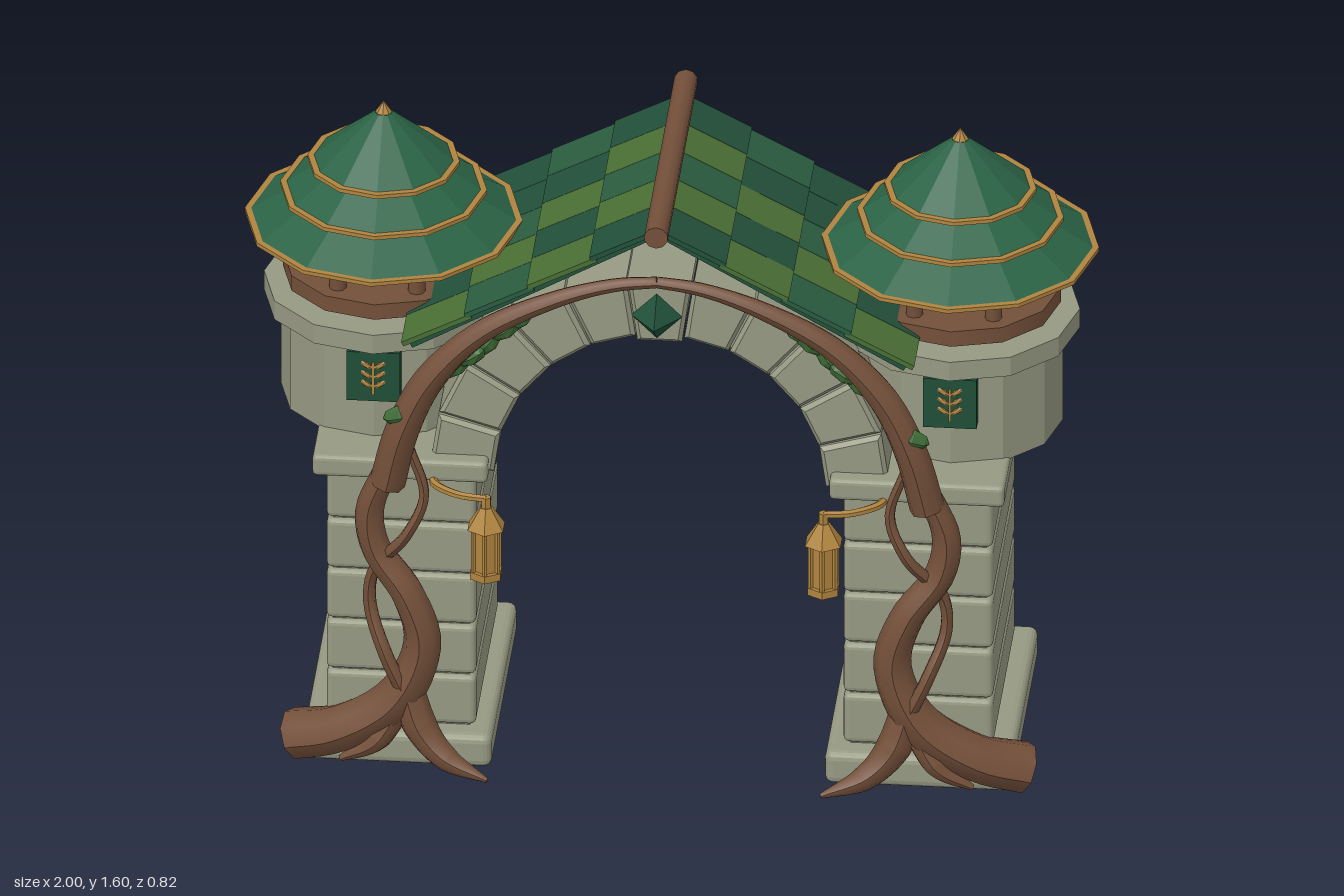
import * as THREE from 'three';
import { RoundedBoxGeometry } from 'three/addons/geometries/RoundedBoxGeometry.js';

const mat = (name, color, extra = {}) => new THREE.MeshStandardMaterial({ name, color, ...extra });
const V = (x, y, z) => new THREE.Vector3(x, y, z);

export function createModel() {
  const root = new THREE.Group();
  root.name = 'gateway';
  const stone = mat('stone', 0x969982, { flatShading: true });
  const wood = mat('wood', 0x74503a);
  const gold = mat('gold', 0xb0843f, { flatShading: true });
  const green = mat('turret roof green', 0x2b6346, { flatShading: true });
  const tileDark = mat('dark tile green', 0x22503a);
  const tileMid = mat('mid tile green', 0x2a5c40);
  const tileMoss = mat('moss tile green', 0x4a6f35);
  const leafGreen = mat('leaf green', 0x3d6a35, { flatShading: true });
  const deepGreen = mat('deep green', 0x1f4f38, { flatShading: true });

  const add = (name, geo, material, x = 0, y = 0, z = 0, parent = root) => {
    const m = new THREE.Mesh(geo, material);
    m.name = name;
    m.position.set(x, y, z);
    parent.add(m);
    return m;
  };
  const block = (name, w, h, d, x, y, z, r = 0.014) =>
    add(name, new RoundedBoxGeometry(w, h, d, 2, r), stone, x, y, z);
  // cylinder given by its bottom and top heights
  const drum = (name, material, rTop, rBottom, y0, y1, x, z, sides = 12) =>
    add(name, new THREE.CylinderGeometry(rTop, rBottom, y1 - y0, sides), material, x, (y0 + y1) / 2, z);

  // tube along points whose radius follows a list of values, with closed ends
  const branch = (name, points, radii, material = wood, sides = 8) => {
    const curve = new THREE.CatmullRomCurve3(points);
    const n = 36;
    const geo = new THREE.TubeGeometry(curve, n, 1, sides);
    const pos = geo.attributes.position;
    const p = V();
    const radius = (t) => {
      const f = t * (radii.length - 1), i = Math.min(Math.floor(f), radii.length - 2);
      return THREE.MathUtils.lerp(radii[i], radii[i + 1], f - i);
    };
    for (let i = 0; i <= n; i++) {
      const c = curve.getPointAt(i / n);
      for (let j = 0; j <= sides; j++) {
        const k = i * (sides + 1) + j;
        p.fromBufferAttribute(pos, k).sub(c).multiplyScalar(radius(i / n)).add(c);
        pos.setXYZ(k, p.x, p.y, p.z);
      }
    }
    geo.computeVertexNormals();
    add(name, geo, material);
    for (const t of [0, 1]) {
      const c = curve.getPointAt(t);
      const cap = add(name + 'End', new THREE.CircleGeometry(radius(t), sides), material, c.x, c.y, c.z);
      cap.lookAt(c.clone().addScaledVector(curve.getTangentAt(t), t ? 1 : -1));
    }
  };

  // arch of eleven wedge stones
  const step = Math.PI / 11, cy = 0.79, bev = 0.01;
  for (let i = 0; i < 11; i++) {
    const key = i === 5;
    const r0 = 0.385 + bev - (key ? 0.008 : 0), r1 = 0.535 - bev + (key ? 0.008 : 0);
    const wedge = new THREE.Shape();
    const half0 = r0 * Math.tan(step / 2) - bev - 0.002, half1 = r1 * Math.tan(step / 2) - bev - 0.002;
    wedge.moveTo(-half0, r0).lineTo(half0, r0).lineTo(half1, r1).lineTo(-half1, r1).closePath();
    const depth = key ? 0.565 : 0.55;
    const geo = new THREE.ExtrudeGeometry(wedge, {
      depth: depth - 2 * bev, bevelEnabled: true, bevelSize: bev, bevelThickness: bev, bevelSegments: 1,
    });
    geo.translate(0, 0, -depth / 2 + bev);
    add(key ? 'keystone' : 'archStone', geo, stone, 0, cy, -0.03).rotation.z = (i - 5) * step;
  }
  add('keystoneGem', new THREE.OctahedronGeometry(0.06), deepGreen, 0, 1.275, 0.315).scale.z = 1.25;

  // ridge log
  add('ridgeLog', new THREE.CylinderGeometry(0.028, 0.028, 0.745, 10), wood, 0, 1.495, -0.0375).rotation.x = Math.PI / 2;

  // tile colours per row from back to front, ridge to eave: d dark, g mid, m moss
  const tiles = { d: tileDark, g: tileMid, m: tileMoss };
  const pattern = ['dgdd', 'mddg', 'gmgd', 'mdmd', 'dmgm'];

  for (const s of [1, -1]) {
    const at = (list) => list.map(([x, y, z]) => V(x * s, y, z));

    // pillar
    block('pillarBase', 0.44, 0.085, 0.65, 0.61 * s, 0.065, -0.033, 0.02);
    for (let i = 0; i < 5; i++) block('pillarBlock', 0.35, 0.13, 0.56, 0.605 * s, 0.178 + i * 0.135, -0.03);
    add('pillarCore', new THREE.BoxGeometry(0.32, 0.7, 0.53), stone, 0.605 * s, 0.44, -0.03);
    block('pillarCap', 0.41, 0.055, 0.625, 0.605 * s, 0.81, -0.028, 0.012);

    // turret
    const tx = 0.675 * s, tz = -0.063;
    drum('turretWall', stone, 0.24, 0.24, 0.83, 1.09, tx, tz);
    drum('turretRim', stone, 0.28, 0.28, 1.08, 1.13, tx, tz);
    drum('turretRail', wood, 0.236, 0.236, 1.147, 1.187, tx, tz);
    for (let i = 0; i < 6; i++) {
      const a = i * Math.PI / 3;
      drum('turretPost', wood, 0.02, 0.02, 1.125, 1.3, tx + 0.185 * Math.cos(a), tz + 0.185 * Math.sin(a), 8);
    }
    // roof tiers: eave radius, top radius, eave height, top height
    for (const [r0, r1, y0, y1] of [[0.325, 0.18, 1.287, 1.38], [0.242, 0.11, 1.364, 1.455], [0.178, 0.02, 1.438, 1.572]]) {
      drum('turretEave', gold, r0, r0, y0, y0 + 0.01, tx, tz);
      drum('turretRoof', green, r1, r0 - 0.015, y0 + 0.01, y1, tx, tz);
    }
    drum('turretFinial', gold, 0.018, 0.024, 1.56, 1.575, tx, tz, 8);
    drum('turretFinialTip', gold, 0.001, 0.018, 1.575, 1.6, tx, tz, 8);

    // banner with a wheat ear
    add('banner', new THREE.BoxGeometry(0.125, 0.13, 0.04), deepGreen, tx, 1.008, 0.178);
    add('wheatStem', new THREE.BoxGeometry(0.006, 0.085, 0.006), gold, tx, 1.005, 0.2);
    for (let i = 0; i < 3; i++) for (const k of [1, -1]) {
      const grain = add('wheatGrain', new THREE.SphereGeometry(0.016, 6, 4), gold, tx + k * 0.016, 0.99 + i * 0.025, 0.2);
      grain.scale.set(1, 0.42, 0.25);
      grain.rotation.z = k * 0.6;
    }

    // main roof slope
    const slope = new THREE.Group();
    slope.name = 'roofSlope';
    slope.position.set(0, 1.487, -0.03);
    slope.rotation.z = -s * Math.atan2(0.337, 0.59);
    root.add(slope);
    add('roofBoard', new THREE.BoxGeometry(0.67, 0.012, 0.635), tileDark, 0.335 * s, -0.008, 0, slope);
    pattern.forEach((row, r) => [...row].forEach((c, i) => {
      const t = add('roofTile', new THREE.BoxGeometry(0.18, 0.012, 0.128), tiles[c], (0.088 + i * 0.169) * s, 0.003, (r - 2) * 0.129, slope);
      t.rotation.z = s * 0.04;
    }));

    // twisted trunk, roots, climbing vine and arch bough
    branch('trunk', at([[0.855, 0.062, 0.235], [0.74, 0.11, 0.28], [0.61, 0.21, 0.3], [0.55, 0.36, 0.3], [0.585, 0.49, 0.3],
      [0.66, 0.6, 0.285], [0.675, 0.7, 0.285], [0.635, 0.82, 0.295]]), [0.062, 0.058, 0.055, 0.046, 0.042, 0.038, 0.034, 0.028]);
    branch('root', at([[0.59, 0.25, 0.3], [0.55, 0.14, 0.32], [0.49, 0.08, 0.35], [0.39, 0.048, 0.39]]), [0.04, 0.042, 0.03, 0.006]);
    branch('sideRoot', at([[0.6, 0.2, 0.3], [0.66, 0.1, 0.32], [0.74, 0.05, 0.32]]), [0.035, 0.03, 0.008]);
    branch('vine', at([[0.59, 0.24, 0.33], [0.635, 0.34, 0.325], [0.675, 0.45, 0.28], [0.665, 0.54, 0.28],
      [0.585, 0.66, 0.325], [0.545, 0.76, 0.31], [0.58, 0.88, 0.3]]), [0.018, 0.015, 0.012], wood, 6);
    branch('archBough', at([[0.632, 0.785, 0.3], [0.595, 0.94, 0.315], [0.53, 1.08, 0.315], [0.41, 1.21, 0.315],
      [0.24, 1.305, 0.315], [0.1, 1.35, 0.312], [0, 1.362, 0.31]]), [0.042, 0.04, 0.037, 0.03, 0.024, 0.018, 0.014]);

    // leaves
    for (const [x, y, z, a] of [[0.6, 0.985, 0.33, 0.3], [0.475, 1.1, 0.29, 0.7], [0.44, 1.135, 0.3, 0.5],
      [0.4, 1.165, 0.285, 0.9], [0.36, 1.205, 0.29, 0.6], [0.325, 1.235, 0.285, 0.8]]) {
      const leaf = add('leaf', new THREE.OctahedronGeometry(0.042, 1), leafGreen, x * s, y, z);
      leaf.scale.set(1, 0.6, 0.5);
      leaf.rotation.z = -s * a;
    }

    // hanging lantern
    const lx = 0.395 * s, lz = 0.363;
    branch('lanternBracket', at([[0.53, 0.785, 0.24], [0.52, 0.787, 0.3], [0.46, 0.789, 0.35], [0.395, 0.789, 0.363]]), [0.011, 0.009], gold, 6);
    drum('lanternHook', gold, 0.012, 0.012, 0.76, 0.795, lx, lz, 6);
    drum('lanternRoof', gold, 0.014, 0.048, 0.715, 0.768, lx, lz, 6);
    drum('lanternBody', gold, 0.03, 0.03, 0.595, 0.718, lx, lz, 6);
    drum('lanternFoot', gold, 0.041, 0.041, 0.583, 0.602, lx, lz, 6);
    for (let i = 0; i < 6; i++) {
      const a = i * Math.PI / 3;
      drum('lanternBar', gold, 0.006, 0.006, 0.6, 0.718, lx + 0.033 * Math.sin(a), lz + 0.033 * Math.cos(a), 5);
    }
  }
  return root;
}
